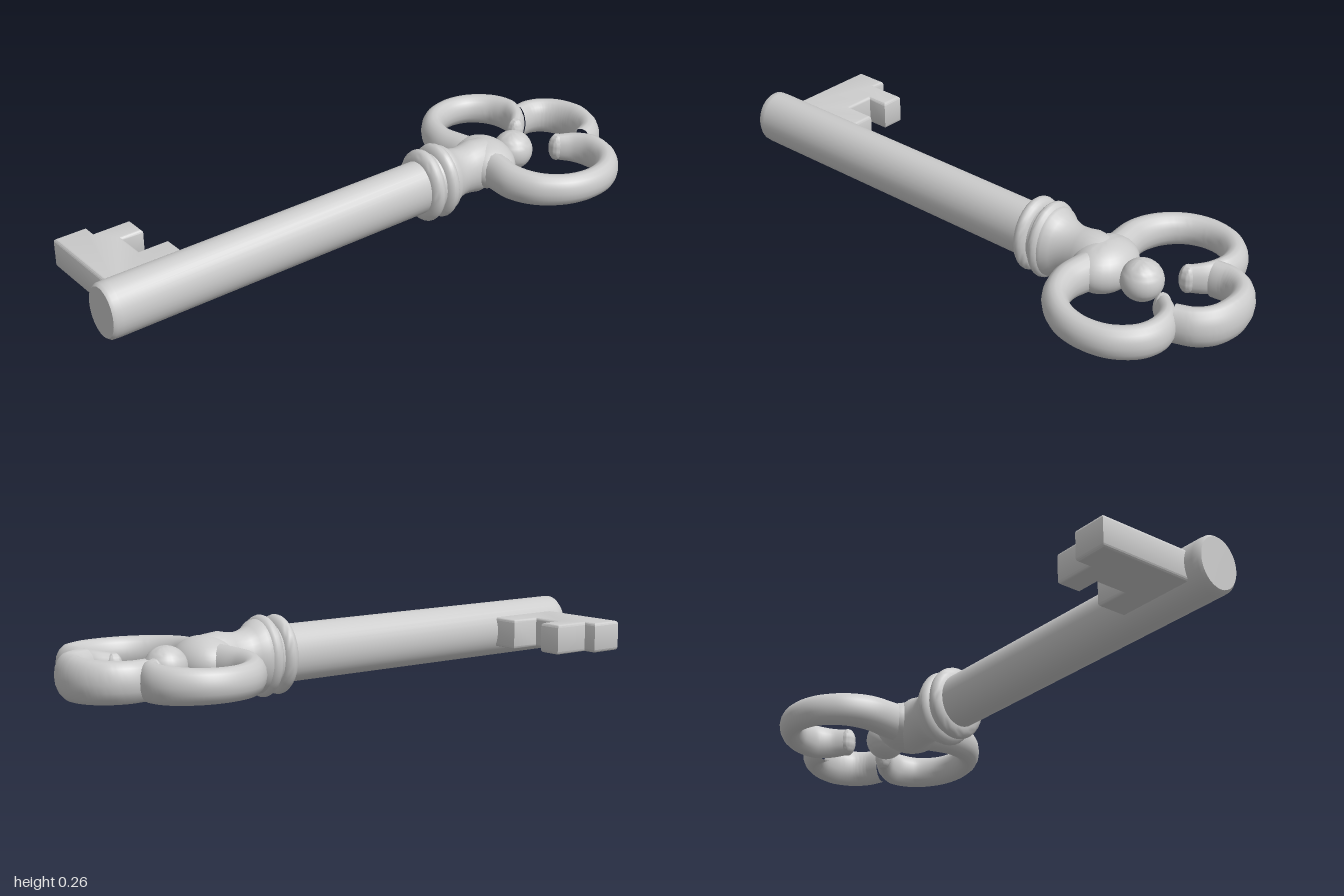
import * as THREE from 'three';
import { toCreasedNormals } from 'three/addons/utils/BufferGeometryUtils.js';

const MID_Y = 0.131; // height of the key's long axis
const AXIS_X = 0.006;

export function createModel() {
  const key = new THREE.Group();
  const material = new THREE.MeshStandardMaterial({ color: 0xcccccc });

  function add(name, geometry, x = 0, y = MID_Y, z = 0, crease = 0.8) {
    const mesh = new THREE.Mesh(toCreasedNormals(geometry, crease), material);
    mesh.name = name;
    mesh.position.set(x, y, z);
    key.add(mesh);
    return mesh;
  }

  // Turned part along z from [radius, z] pairs, front to back, taller than wide
  function turned(name, profile) {
    const points = profile.map(([r, z]) => new THREE.Vector2(r, -z));
    const geometry = new THREE.LatheGeometry(points, 32);
    geometry.rotateX(-Math.PI / 2).scale(1, 1.2, 1);
    return add(name, geometry, AXIS_X);
  }

  // Rounded ring profile around the axis
  function ringProfile(z, halfWidth, inner, outer) {
    const profile = [];
    for (let i = 0; i <= 10; i++) {
      const a = (i / 10) * Math.PI;
      profile.push([inner + (outer - inner) * Math.sin(a), z + halfWidth * Math.cos(a)]);
    }
    return profile;
  }

  function ellipsoid(name, x, z, rx, ry, rz) {
    const geometry = new THREE.SphereGeometry(1, 28, 20);
    geometry.scale(rx, ry, rz);
    return add(name, geometry, x, MID_Y, z);
  }

  // Half height of the bow: thickest at the middle, thinner outward
  const bowHalfHeight = (x) => 0.071 - 0.052 * Math.abs(x);

  // Flat swept bow bar; width follows radiusAt(u), height follows the bow's taper
  function bowBar(name, points, radiusAt) {
    const curve = new THREE.CatmullRomCurve3(points.map(([x, z]) => new THREE.Vector3(x, 0, z)));
    const segments = 64, sides = 16, base = 0.04;
    const geometry = new THREE.TubeGeometry(curve, segments, base, sides);
    const position = geometry.attributes.position;
    const v = new THREE.Vector3();
    for (let i = 0; i < position.count; i++) {
      const u = Math.floor(i / (sides + 1)) / segments;
      const centre = curve.getPointAt(u);
      const radius = radiusAt(u);
      const height = bowHalfHeight(centre.x) * Math.min(1, radius / 0.036);
      v.fromBufferAttribute(position, i).sub(centre);
      v.set(v.x * radius / base, v.y * height / base, v.z * radius / base).add(centre);
      position.setXYZ(i, v.x, v.y, v.z);
    }
    add(name, geometry, 0, MID_Y, 0, 1.2);
  }

  // Shaft with a slightly eased front edge
  turned('shaft', [[0, 1], [0.07, 1], [0.077, 0.99], [0.078, 0.97], [0.078, -0.25], [0, -0.25]]);

  // Two collar rings and the flared neck behind them
  turned('frontCollarRing', ringProfile(-0.232, 0.027, 0.07, 0.107));
  turned('rearCollarRing', ringProfile(-0.29, 0.027, 0.07, 0.11));
  turned('neck', [
    [0.085, -0.24], [0.088, -0.27], [0.1, -0.3], [0.098, -0.32], [0.084, -0.34], [0.075, -0.365],
    [0.071, -0.39], [0.073, -0.42], [0.078, -0.45], [0.074, -0.5], [0.055, -0.55], [0, -0.57],
  ]);

  // Swelling where the bow meets the neck, and the ball on top of it
  ellipsoid('shoulder', AXIS_X, -0.505, 0.122, 0.086, 0.097);
  ellipsoid('bowBall', 0.004, -0.643, 0.069, 0.068, 0.069);

  // Side lobes: out of the shoulder, round, and curled inward to a small knob
  const lobe = [
    [0.03, -0.5], [0.1, -0.487], [0.18, -0.48], [0.265, -0.512], [0.327, -0.585], [0.349, -0.675],
    [0.331, -0.765], [0.27, -0.832], [0.195, -0.848], [0.135, -0.825], [0.09, -0.777],
  ];
  const lobeRadius = (u) => {
    if (u < 0.35) return 0.054 - 0.04 * u;
    return u < 0.8 ? 0.04 : 0.04 - 0.07 * (u - 0.8);
  };
  for (const [side, sign, shiftX, shiftZ] of [['left', 1, -0.005, 0], ['right', -1, -0.002, 0.035]]) {
    // The right lobe sits slightly lower at its far end
    const points = lobe.map(([x, z]) => {
      const t = THREE.MathUtils.clamp((-z - 0.5) / 0.3, 0, 1);
      return [sign * x + shiftX, z + shiftZ * t];
    });
    bowBar(side + 'BowLobe', points, lobeRadius);
    const [tipX, tipZ] = points[points.length - 1];
    ellipsoid(side + 'BowKnob', tipX, tipZ, 0.029, 0.05, 0.029);
  }

  // Top lobe bridging the two side lobes
  bowBar('topBowLobe', [
    [-0.145, -0.805], [-0.148, -0.86], [-0.126, -0.91], [-0.08, -0.945], [-0.012, -0.959],
    [0.06, -0.945], [0.105, -0.908], [0.13, -0.85],
  ], () => 0.041);

  // Toothed bit at the front end
  const outline = [
    [0, 0.94], [-0.378, 0.94], [-0.378, 0.825], [-0.332, 0.825], [-0.332, 0.695], [-0.252, 0.695],
    [-0.252, 0.77], [-0.153, 0.77], [-0.153, 0.665], [0, 0.665],
  ];
  const bit = new THREE.ExtrudeGeometry(new THREE.Shape(outline.map(([x, z]) => new THREE.Vector2(x, z))), {
    depth: 0.082, bevelEnabled: true, bevelThickness: 0.01, bevelSize: 0.01, bevelOffset: -0.01, bevelSegments: 3,
  });
  bit.rotateX(Math.PI / 2).translate(0, 0.041, 0);
  add('bit', bit, 0, 0.129, 0, 0.6);

  return key;
}
